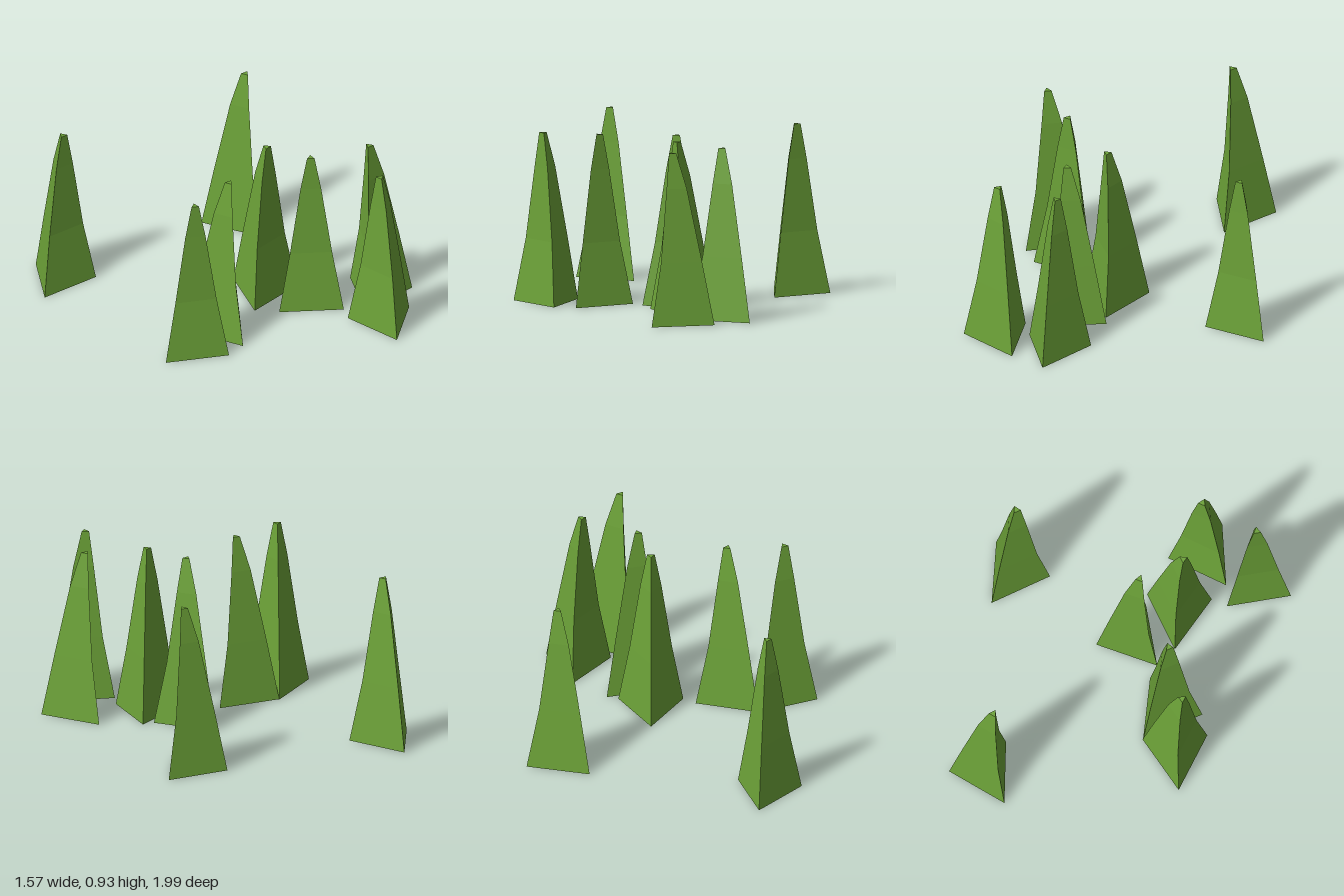
import * as THREE from 'three';

// Cross-sections of one blade, bottom to top: height, triangle radius, backward lean
const SECTIONS = [
  [0, 0.2025, 0],
  [0.345, 0.132, 0],
  [0.74, 0.065, -0.0185],
  [0.93, 0.0235, -0.036],
];

// Centre of each blade's base and the position of its outer corner: cx, cz, ax, az
const BLADES = [
  [-0.51, -0.80, -0.47, -1.0],
  [0.59, -0.465, 0.445, -0.605],
  [0.111, 0.113, 0.111, -0.09],
  [-0.588, 0.227, -0.47, 0.065],
  [-0.328, 0.212, -0.47, 0.065],
  [0.207, 0.375, 0.35, 0.23],
  [0.512, 0.58, 0.675, 0.70],
  [0.308, 0.82, 0.511, 0.82],
];

// Three-sided column whose rings are moved onto the cross-sections
function bladeGeometry() {
  const geometry = new THREE.CylinderGeometry(1, 1, 1, 3, SECTIONS.length - 1);
  const p = geometry.attributes.position;
  for (let i = 0; i < p.count; i++) {
    const row = Math.round((p.getY(i) + 0.5) * (SECTIONS.length - 1));
    const [y, radius, lean] = SECTIONS[row];
    p.setXYZ(i, p.getX(i) * radius, y, p.getZ(i) * radius + lean);
  }
  const flat = geometry.toNonIndexed();
  flat.computeVertexNormals();
  return flat;
}

export function createModel() {
  const group = new THREE.Group();
  group.name = 'grassTuft';
  const geometry = bladeGeometry();
  const material = new THREE.MeshStandardMaterial({ color: 0x6ca238, flatShading: true });

  // Grass blades, each turned so its ridge points at its outer corner
  BLADES.forEach(([cx, cz, ax, az], i) => {
    const blade = new THREE.Mesh(geometry, material);
    blade.name = `grassBlade${i + 1}`;
    blade.position.set(cx, 0, cz);
    blade.rotation.y = Math.atan2(ax - cx, az - cz);
    group.add(blade);
  });
  return group;
}
